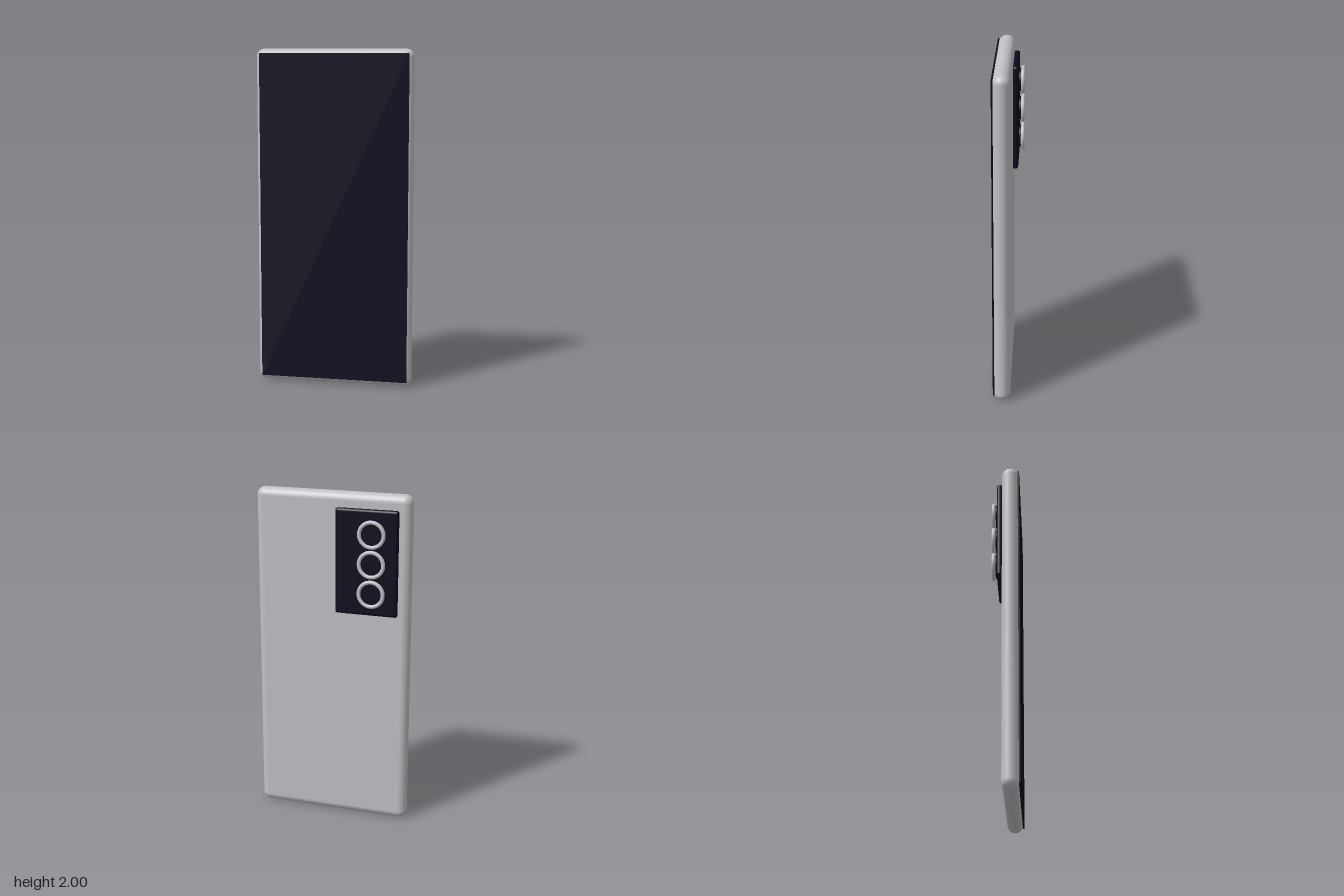
import * as THREE from 'three';
import { RoundedBoxGeometry } from 'three/addons/geometries/RoundedBoxGeometry.js';

export function createModel() {
  const phone = new THREE.Group();
  phone.name = 'phone';

  const silver = new THREE.MeshStandardMaterial({ name: 'silver', color: 0xc0c0c4 });
  const darkGlass = new THREE.MeshStandardMaterial({ name: 'darkGlass', color: 0x0a0a1e });

  const add = (name, geometry, material, x, y, z, parent = phone) => {
    const mesh = new THREE.Mesh(geometry, material);
    mesh.name = name;
    mesh.position.set(x, y, z);
    parent.add(mesh);
    return mesh;
  };

  // Body with fully rounded edges
  add('body', new RoundedBoxGeometry(0.934, 2, 0.097, 8, 0.0485), silver, 0, 1, 0.0285);

  // Screen plate on the front
  add('screen', new THREE.BoxGeometry(0.884, 1.945, 0.009), darkGlass, 0, 1.0025, 0.0785);

  // Camera panel on the back
  add('cameraPanel', new RoundedBoxGeometry(0.373, 0.62, 0.034, 5, 0.015), darkGlass, -0.2135, 1.605, -0.034);

  // Three lenses, each a dark barrel with a silver ring
  const barrel = new THREE.CylinderGeometry(0.068, 0.068, 0.03, 48).rotateX(-Math.PI / 2);
  const ring = new THREE.TorusGeometry(0.072, 0.0115, 16, 64);
  [1.777, 1.604, 1.43].forEach((y, i) => {
    const lens = new THREE.Group();
    lens.name = `lens${i + 1}`;
    lens.position.set(-0.25, y, 0);
    phone.add(lens);
    add('lensBarrel', barrel, darkGlass, 0, 0, -0.059, lens);
    add('lensRing', ring, silver, 0, 0, -0.0735, lens);
  });

  return phone;
}
